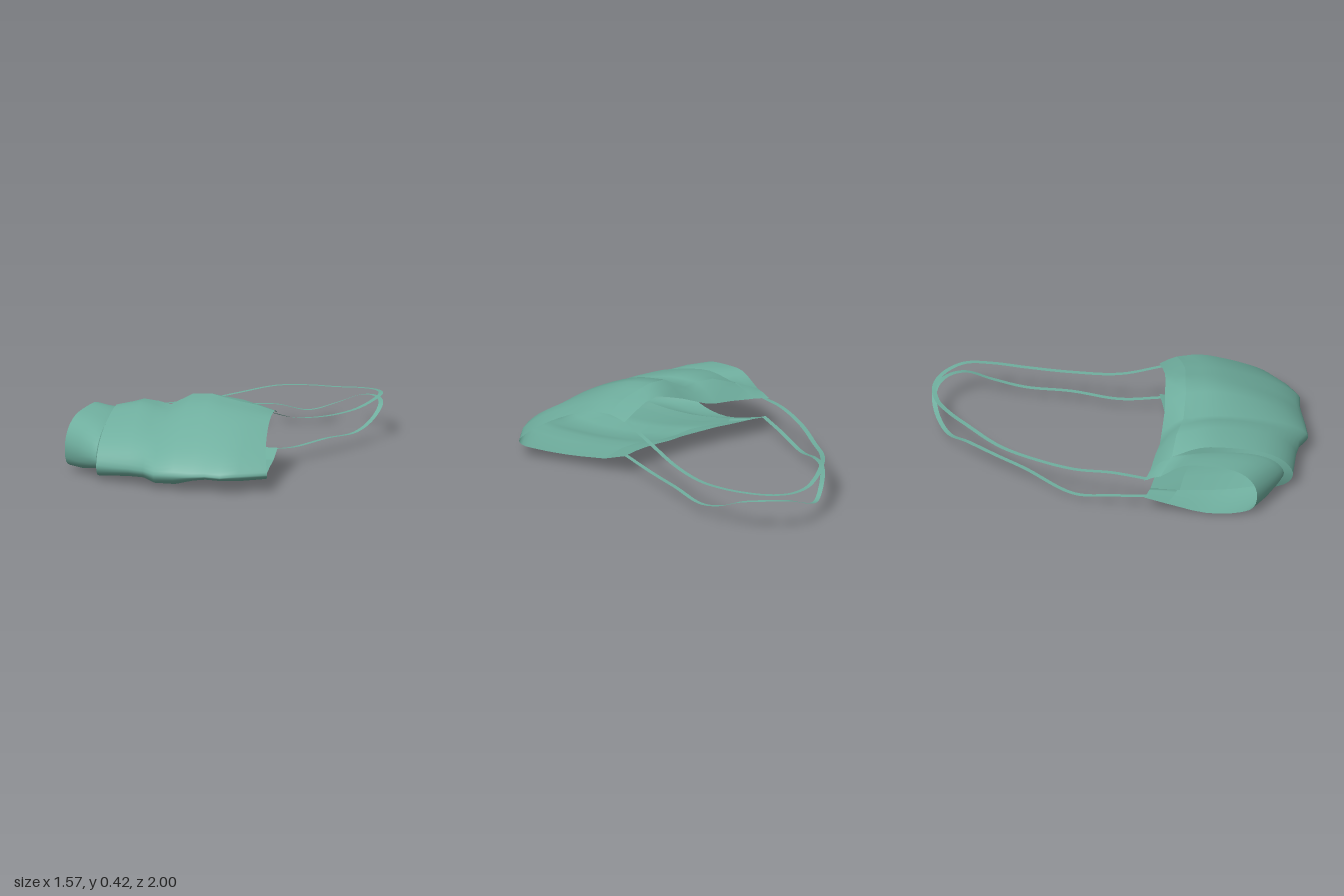
import * as THREE from 'three';

const fabric = new THREE.MeshStandardMaterial({ color: 0x6fae9e, side: THREE.DoubleSide });

// Smooth grid surface through rows of equally long point lists
function sheet(rows) {
  const n = rows[0].length, pos = [], idx = [];
  rows.forEach(r => r.forEach(p => pos.push(p.x, p.y, p.z)));
  for (let i = 0; i < rows.length - 1; i++) {
    for (let j = 0; j < n - 1; j++) {
      const a = i * n + j, b = a + n;
      idx.push(a, a + 1, b, b, a + 1, b + 1);
    }
  }
  const g = new THREE.BufferGeometry();
  g.setAttribute('position', new THREE.Float32BufferAttribute(pos, 3));
  g.setIndex(idx);
  g.computeVertexNormals();
  return g;
}

// Folded C-shaped section: upper hem, slope to the front, underside, lower hem
function section([xb, zb, xf, zf, yEdge, yCrease, yTop, yFront, yBot, yEdgeB, round]) {
  const mix = THREE.MathUtils.lerp;
  const rise = (a, b) => mix(yFront, yTop, mix(a, b, round));
  const drop = (a, b) => mix(yFront, yBot, mix(a, b, round));
  const bow = xf > 0.2 ? 4 : 1;
  const at = (u, y) => new THREE.Vector3(xb + (xf - xb) * Math.pow(u, bow), y, zb + (zf - zb) * u);
  const pts = [
    at(0.15, yCrease), at(0.35, rise(0.93, 1)), at(0.56, rise(0.74, 1)),
    at(0.8, rise(0.43, 0.85)), at(0.94, rise(0.18, 0.5)), at(1, yFront),
    at(0.97, drop(0.55, 0.7)), at(0.85, drop(0.9, 0.95)), at(0.55, yBot),
    at(0.2, mix(yBot, yEdgeB, 0.35 + 0.25 * round)),
  ];
  const curve = new THREE.CatmullRomCurve3(pts, false, 'centripetal');
  return {
    upperHem: [at(0, yEdge), at(0.075, mix(yEdge, yCrease, 0.62)), pts[0]],
    body: curve.getPoints((pts.length - 1) * 3),
    lowerHem: [pts[pts.length - 1], at(0, yEdgeB)],
  };
}

// Flat ribbon lying level along a path
function ribbon(points, halfWidth) {
  const curve = new THREE.CatmullRomCurve3(points.map(p => new THREE.Vector3(...p)), false, 'centripetal');
  const rows = [[], []], n = 90;
  for (let i = 0; i <= n; i++) {
    const p = curve.getPoint(i / n), t = curve.getTangent(i / n);
    const side = new THREE.Vector3(-t.z, 0, t.x).normalize().multiplyScalar(halfWidth);
    rows[0].push(p.clone().add(side));
    rows[1].push(p.clone().sub(side));
  }
  return sheet(rows);
}

export function createModel() {
  const group = new THREE.Group();
  const add = (name, geometry) => {
    const mesh = new THREE.Mesh(geometry, fabric);
    mesh.name = name;
    group.add(mesh);
  };

  // Back x, z; front x, z; heights: edge, crease, top, front, bottom, lower edge; roundness
  const cuff = [
    [-0.61, -0.10, -0.79, 0.50, 0.21, 0.24, 0.31, 0.14, 0.005, 0.10, 1],
    [-0.575, -0.07, -0.70, 0.60, 0.215, 0.265, 0.31, 0.13, 0.01, 0.10, 0.9],
    [-0.545, -0.05, -0.62, 0.68, 0.22, 0.28, 0.305, 0.12, 0.03, 0.10, 0.75],
    [-0.53, -0.04, -0.58, 0.71, 0.22, 0.29, 0.30, 0.11, 0.04, 0.10, 0.65],
  ];
  const panel = [
    [-0.53, -0.04, -0.57, 0.765, 0.22, 0.29, 0.335, 0.09, 0.005, 0.10, 0.5],
    [-0.41, 0.02, -0.38, 0.835, 0.235, 0.345, 0.37, 0.09, 0.025, 0.10, 0.35],
    [-0.32, 0.07, -0.29, 0.88, 0.24, 0.345, 0.36, 0.09, 0.03, 0.10, 0.25],
    [-0.245, 0.10, -0.22, 0.945, 0.26, 0.335, 0.335, 0.085, 0.01, 0.10, 0.15],
    [-0.11, 0.155, -0.11, 0.96, 0.32, 0.41, 0.415, 0.085, 0.01, 0.10, 0.05],
    [0.0, 0.185, 0.0, 0.97, 0.36, 0.42, 0.42, 0.085, 0.045, 0.10, 0],
    [0.08, 0.21, 0.07, 0.975, 0.385, 0.405, 0.405, 0.09, 0.055, 0.105, 0],
    [0.17, 0.23, 0.16, 1.0, 0.375, 0.39, 0.39, 0.09, 0.055, 0.11, 0],
    [0.26, 0.24, 0.26, 0.97, 0.35, 0.375, 0.375, 0.095, 0.05, 0.115, 0],
    [0.36, 0.25, 0.41, 0.90, 0.315, 0.345, 0.355, 0.095, 0.055, 0.115, 0],
  ];
  const cuffRows = cuff.map(section), panelRows = panel.map(section);
  add('sidePanel', sheet(cuffRows.map(s => s.body)));
  add('pleatStep', sheet([cuffRows[cuffRows.length - 1].body, panelRows[0].body]));
  add('frontPanel', sheet(panelRows.map(s => s.body)));
  for (const hem of ['upperHem', 'lowerHem']) {
    add(hem, sheet([...cuffRows, ...panelRows].map(s => s[hem])));
  }

  // Two elastic loops sharing one plan outline, at different heights
  const plan = [
    [-0.60, -0.07], [-0.50, -0.25], [-0.38, -0.44], [-0.17, -0.66], [-0.04, -0.78], [0.16, -0.90],
    [0.33, -0.965], [0.48, -0.99], [0.62, -0.965], [0.72, -0.88], [0.77, -0.75], [0.745, -0.60],
    [0.68, -0.43], [0.56, -0.20], [0.42, 0.04], [0.33, 0.26],
  ];
  const heights = {
    upperStrap: [0.21, 0.22, 0.20, 0.19, 0.20, 0.225, 0.22, 0.21, 0.215, 0.225, 0.232, 0.22, 0.205, 0.21, 0.245, 0.315],
    lowerStrap: [0.10, 0.07, 0.04, 0.11, 0.13, 0.12, 0.08, 0.12, 0.175, 0.19, 0.175, 0.115, 0.075, 0.085, 0.08, 0.11],
  };
  for (const [name, ys] of Object.entries(heights)) {
    add(name, ribbon(plan.map(([x, z], i) => [x, ys[i], z]), 0.013));
  }
  return group;
}
